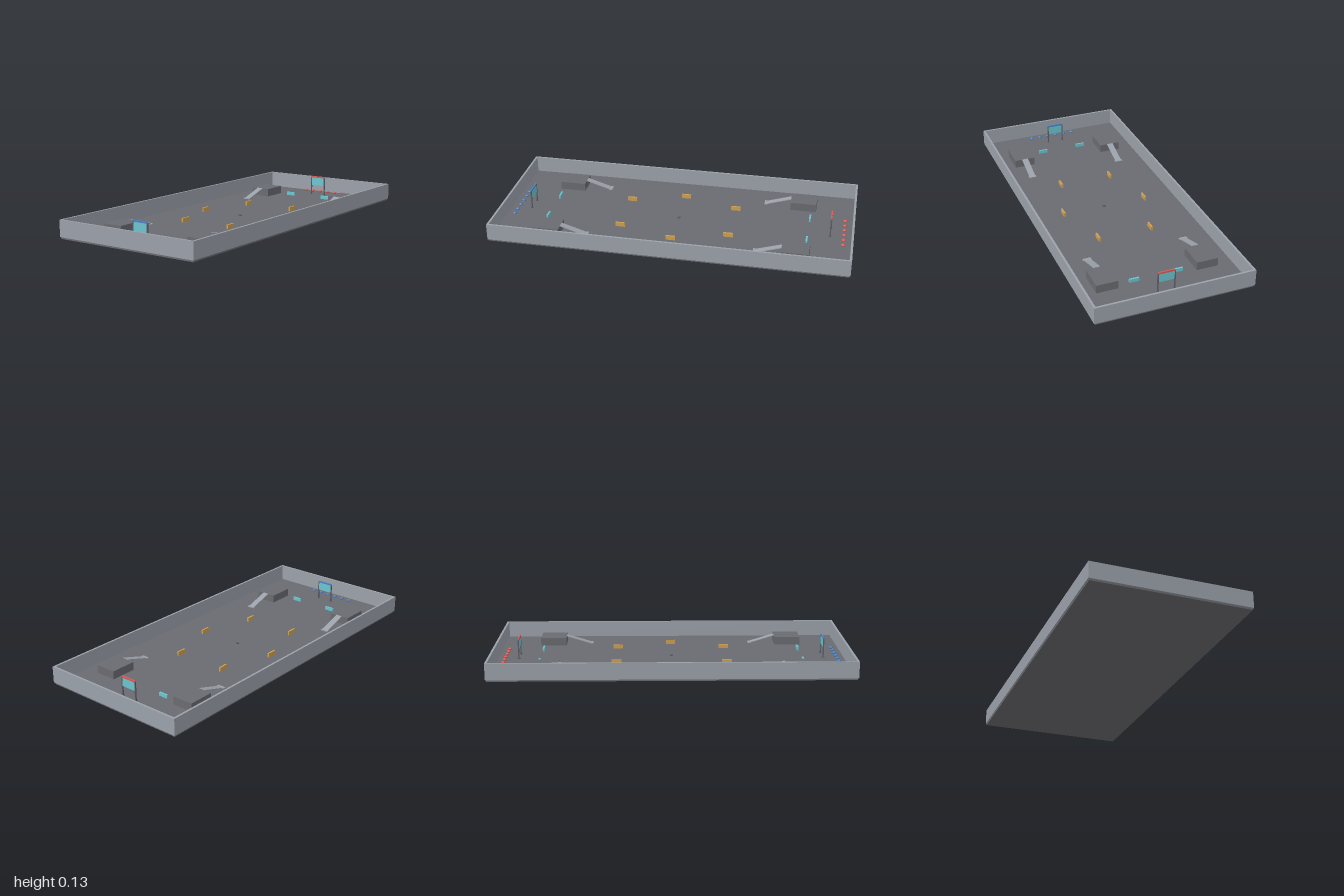
import * as THREE from 'three';

const mat = (name, color) => {
  const m = new THREE.MeshStandardMaterial({ color });
  m.name = name;
  return m;
};

export function createModel() {
  const arena = new THREE.Group();
  arena.name = 'arena';
  const floorGrey = mat('floor grey', 0x6a6b70);
  const wallGrey = mat('wall grey', 0x9ba1aa);
  const steel = mat('dark steel', 0x5c6068);
  const cyan = mat('cyan', 0x6cc4cf);
  const amber = mat('amber', 0xcf9f50);
  const red = mat('red', 0xdb5a52);
  const blue = mat('blue', 0x4a82c4);
  const FLOOR = 0.01;

  const add = (name, geometry, material, x, y, z, parent = arena) => {
    const mesh = new THREE.Mesh(geometry, material);
    mesh.name = name;
    mesh.position.set(x, y, z);
    parent.add(mesh);
    return mesh;
  };
  // box standing on height y
  const box = (name, material, w, h, d, x, y, z, parent) =>
    add(name, new THREE.BoxGeometry(w, h, d), material, x, y + h / 2, z, parent);

  // floor slab and perimeter walls
  box('floor', floorGrey, 1.99, FLOOR, 0.87, 0, 0, 0);
  for (const s of [-1, 1]) {
    box('longWall', wallGrey, 2, 0.093, 0.012, 0, FLOOR, s * 0.434);
    box('endWall', wallGrey, 0.012, 0.093, 0.856, s * 0.994, FLOOR, 0);
  }

  // four platforms, each with a sloping ramp towards the middle
  const run = 0.145, rise = 0.045;
  for (const sx of [-1, 1]) for (const sz of [-1, 1]) {
    const station = new THREE.Group();
    station.name = 'platformStation';
    arena.add(station);
    const z = sz * 0.281;
    box('platform', floorGrey, 0.15, 0.047, 0.122, sx * 0.697, FLOOR, z, station);
    const ramp = add('ramp', new THREE.BoxGeometry(Math.hypot(run, rise), 0.004, 0.037),
      wallGrey, sx * (0.622 - run / 2), FLOOR + rise / 2 + 0.002, z, station);
    ramp.rotation.z = sx * Math.atan2(rise, run);
    box('rampLip', wallGrey, 0.018, 0.004, 0.046, sx * 0.474, FLOOR, z, station);
  }

  // a goal at each end, red on the left and blue on the right
  for (const [s, colour] of [[1, red], [-1, blue]]) {
    const goal = new THREE.Group();
    goal.name = 'goal';
    goal.position.x = s * 0.87;
    arena.add(goal);
    box('goalPanel', cyan, 0.004, 0.05, 0.09, 0, 0.068, 0, goal);
    box('goalTopBar', colour, 0.008, 0.009, 0.092, 0, 0.118, 0, goal);
    for (const sz of [-1, 1]) {
      box('goalPost', steel, 0.007, 0.11, 0.006, 0, FLOOR, sz * 0.047, goal);
      box('goalFoot', steel, 0.014, 0.005, 0.008, 0, FLOOR, sz * 0.046, goal);
    }
    // row of six playing pieces behind the goal
    for (let i = 0; i < 6; i++) {
      const piece = add('playingPiece', new THREE.SphereGeometry(0.012, 8, 6), colour,
        s * 0.946, FLOOR + 0.007, (i - 2.5) * 0.054);
      piece.scale.y = 0.6;
    }
    // cyan barriers in front of the goal
    for (const sz of [-1, 1])
      box('cyanBarrier', cyan, 0.01, 0.02, 0.055, s * 0.745, FLOOR, sz * 0.124);
  }

  // six amber barriers around the centre
  for (const sz of [-1, 1]) {
    for (const [x, z] of [[0, 0.248], [-0.31, 0.155], [0.31, 0.155]])
      box('amberBarrier', amber, 0.055, 0.024, 0.01, x, FLOOR, sz * z);
  }

  // centre marker
  add('centreMarker', new THREE.CylinderGeometry(0.008, 0.008, 0.008, 10), steel, 0, FLOOR + 0.004, 0);

  return arena;
}
